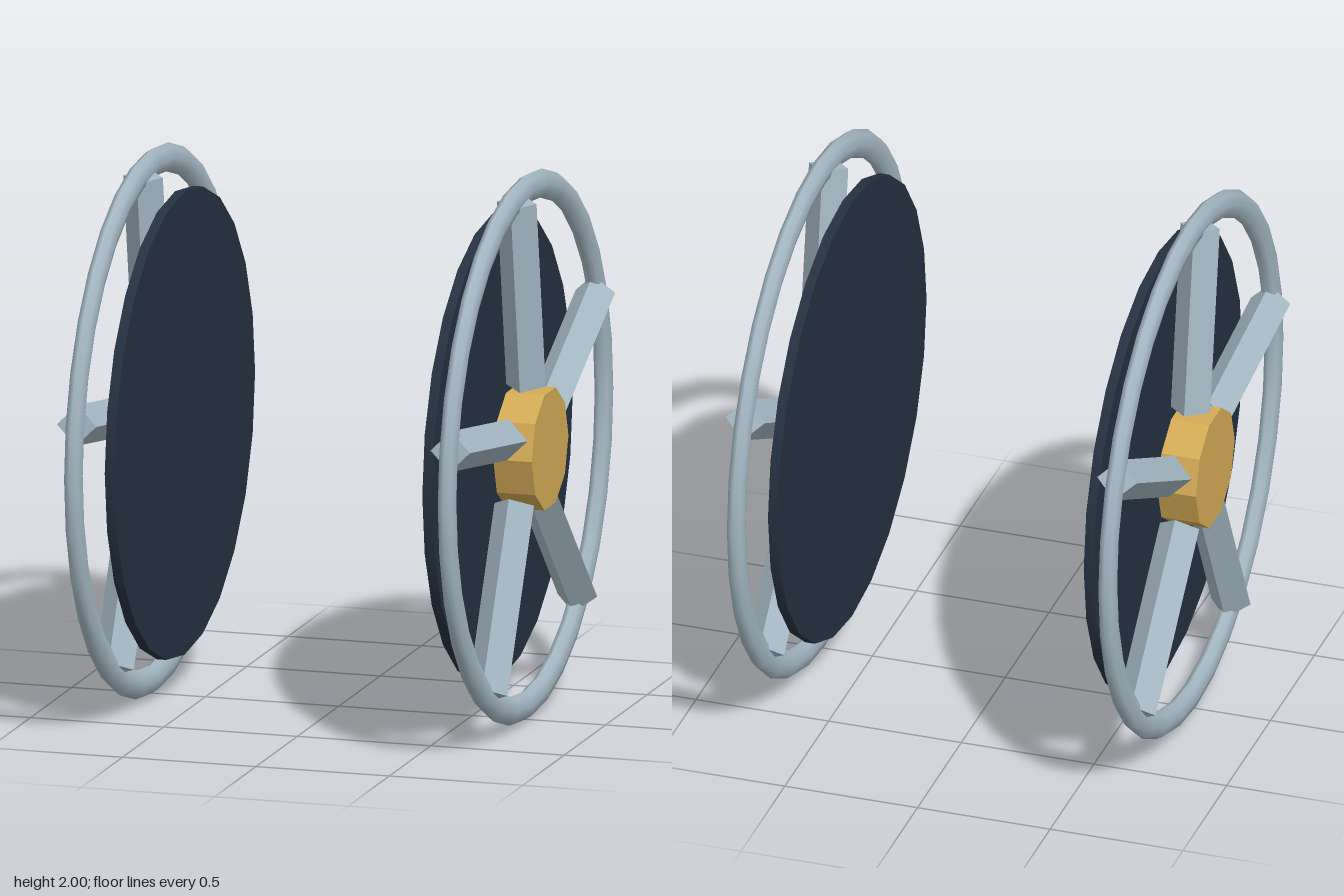
import * as THREE from 'three';
import { toCreasedNormals } from 'three/addons/utils/BufferGeometryUtils.js';

const material = (name, color) => Object.assign(new THREE.MeshStandardMaterial({ color }), { name });

export function createModel() {
  const steel = material('steel', 0xa4b8c4);
  const brass = material('brass', 0xd4ab56);
  const navy = material('navy', 0x253141);

  // Elliptical rim: deep towards the hub, narrow along the axle
  const rimGeo = new THREE.TorusGeometry(0.9475, 0.0525, 8, 32)
    .scale(1, 1, 0.63).rotateY(Math.PI / 2);

  // Solid disc or prism lying along the x axle
  const axial = (radius, width, sides) => toCreasedNormals(
    new THREE.CylinderGeometry(radius, radius, width, sides).rotateZ(Math.PI / 2), 0.5);
  const discGeo = axial(0.85, 0.036, 24);
  const hubGeo = axial(0.222, 0.144, 10);

  // Diamond-section spoke, set slightly off the hub's centre line
  const inner = 0.222, outer = 0.927;
  const spokeGeo = toCreasedNormals(
    new THREE.CylinderGeometry(0.074, 0.074, outer - inner, 4), 0.5)
    .translate(0, (inner + outer) / 2, -0.04);

  const model = new THREE.Group();
  model.name = 'wheelPair';

  for (const side of [-1, 1]) {
    const wheel = new THREE.Group();
    wheel.name = side > 0 ? 'leftWheel' : 'rightWheel';
    wheel.position.y = 1;
    const add = (name, geometry, mat, x) => {
      const mesh = new THREE.Mesh(geometry, mat);
      mesh.name = name;
      mesh.position.x = side * x;
      wheel.add(mesh);
      return mesh;
    };
    add('rim', rimGeo, steel, 0.7);
    add('hub', hubGeo, brass, 0.72);
    add('backingDisc', discGeo, navy, 0.595);
    for (let i = 0; i < 5; i++) {
      add('spoke', spokeGeo, steel, 0.7).rotation.x = THREE.MathUtils.degToRad(9 + 72 * i);
    }
    model.add(wheel);
  }
  return model;
}
